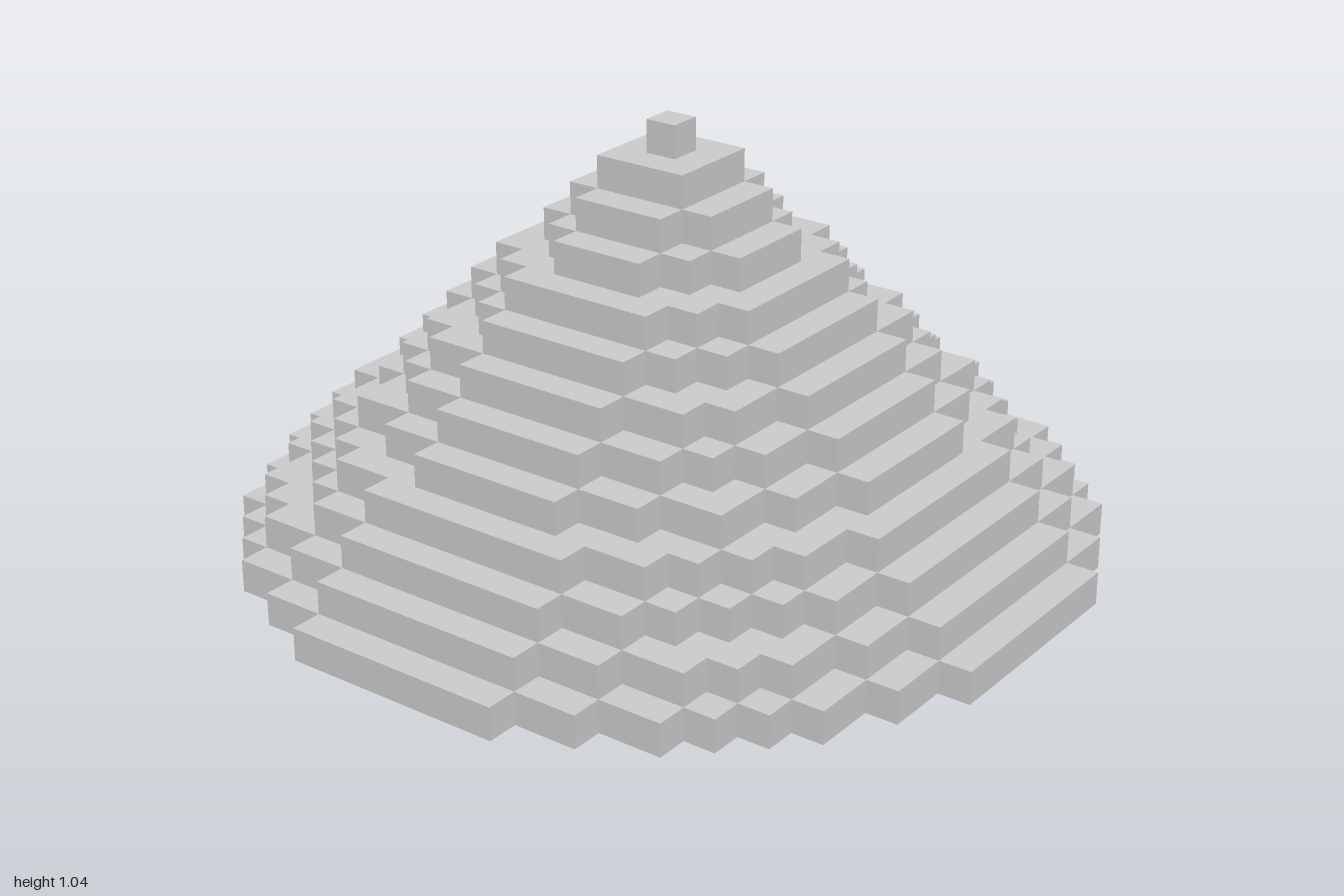
import * as THREE from 'three';

const CELL = 0.08; // edge of one block
const LAYERS = 13;

// Half width of row j in a blocky disc whose radius is r blocks
const halfWidth = (r, j) => Math.floor(Math.sqrt((r + 0.5) ** 2 - j * j)) + 0.5;

// Stepped outline of a blocky disc, counter-clockwise
function discShape(r) {
  const right = [];
  for (let j = -r; j <= r; j++) {
    const w = halfWidth(r, j);
    // a corner is only needed where the width changes
    if (j === -r || halfWidth(r, j - 1) !== w) right.push([w, j - 0.5]);
    if (j === r || halfWidth(r, j + 1) !== w) right.push([w, j + 0.5]);
  }
  const left = right.map(([x, y]) => [-x, y]).reverse();
  return new THREE.Shape([...right, ...left].map(([x, y]) => new THREE.Vector2(x * CELL, y * CELL)));
}

export function createModel() {
  const group = new THREE.Group();
  group.name = 'steppedCone';
  const material = new THREE.MeshStandardMaterial({ color: 0xcccccc, flatShading: true });

  // Stacked discs, each one block smaller in radius than the one below
  for (let i = 0; i < LAYERS; i++) {
    const geometry = new THREE.ExtrudeGeometry(discShape(LAYERS - 1 - i), { depth: CELL, bevelEnabled: false });
    geometry.rotateX(-Math.PI / 2);
    const layer = new THREE.Mesh(geometry, material);
    layer.name = i === LAYERS - 1 ? 'topBlock' : `layer${i + 1}`;
    layer.position.y = i * CELL;
    group.add(layer);
  }
  return group;
}
